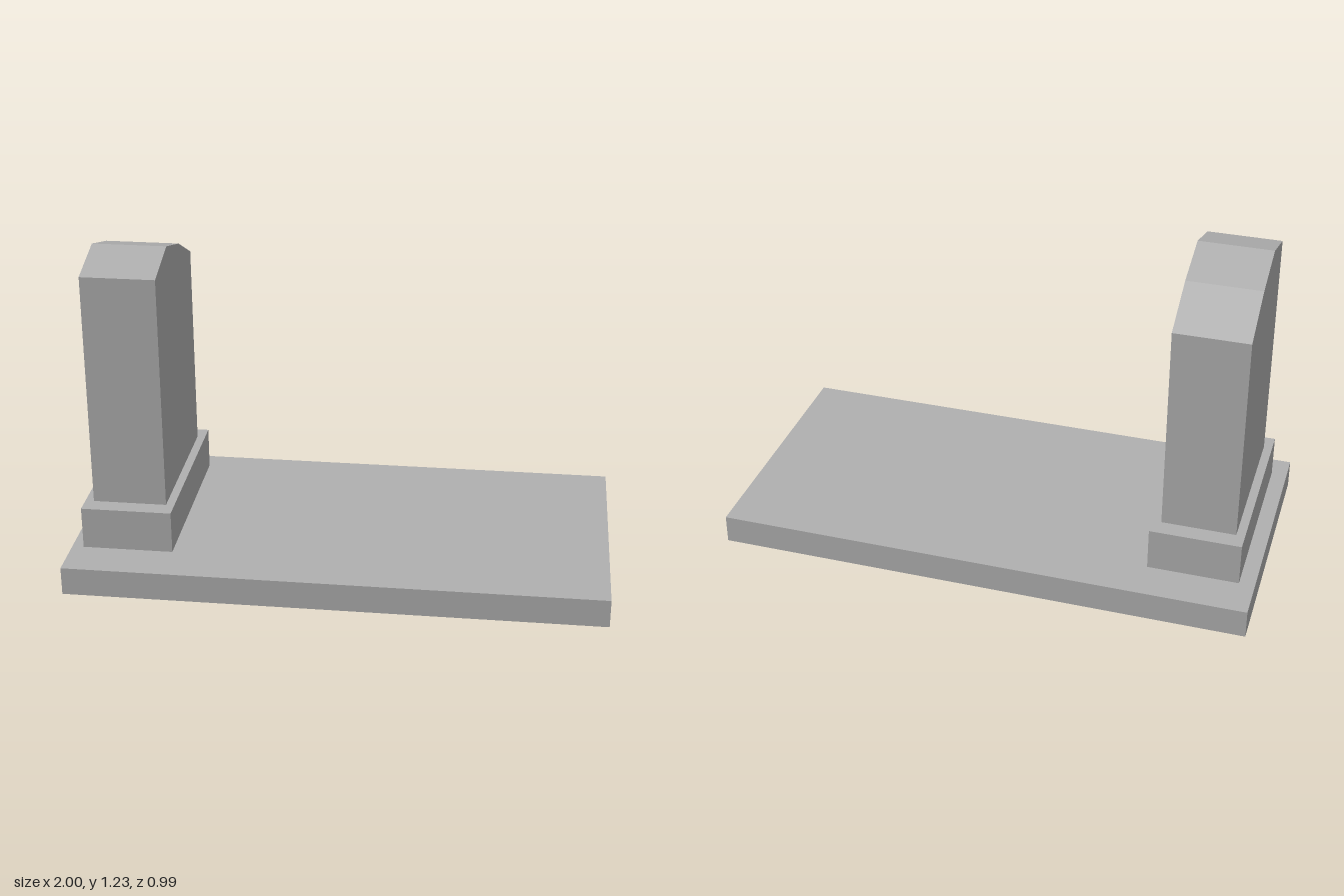
import * as THREE from 'three';

export function createModel() {
  const group = new THREE.Group();
  group.name = 'gravestone';

  const stone = new THREE.MeshStandardMaterial({ color: 0xb0b0b0 });
  stone.name = 'grey stone';

  const add = (name, geometry, x = 0, y = 0, z = 0) => {
    const mesh = new THREE.Mesh(geometry, stone);
    mesh.name = name;
    mesh.position.set(x, y, z);
    group.add(mesh);
  };

  // Ground slab, with the plinth resting just above it on a thin joint
  add('slab', new THREE.BoxGeometry(2, 0.108, 0.986), 0, 0.054, 0);
  add('plinth', new THREE.BoxGeometry(0.336, 0.16, 0.728), -0.777, 0.21, 0);

  // Upright stone: lopsided peaked outline (z, y), extruded along x
  const outline = new THREE.Shape([
    [-0.298, 0.29], [0.298, 0.29], [0.298, 1.173],
    [0.1, 1.23], [-0.1, 1.173], [-0.298, 1.074],
  ].map(([z, y]) => new THREE.Vector2(z, y)));
  const headstone = new THREE.ExtrudeGeometry(outline, { depth: 0.273, bevelEnabled: false });
  headstone.rotateY(-Math.PI / 2);
  add('headstone', headstone, -0.64);

  return group;
}
